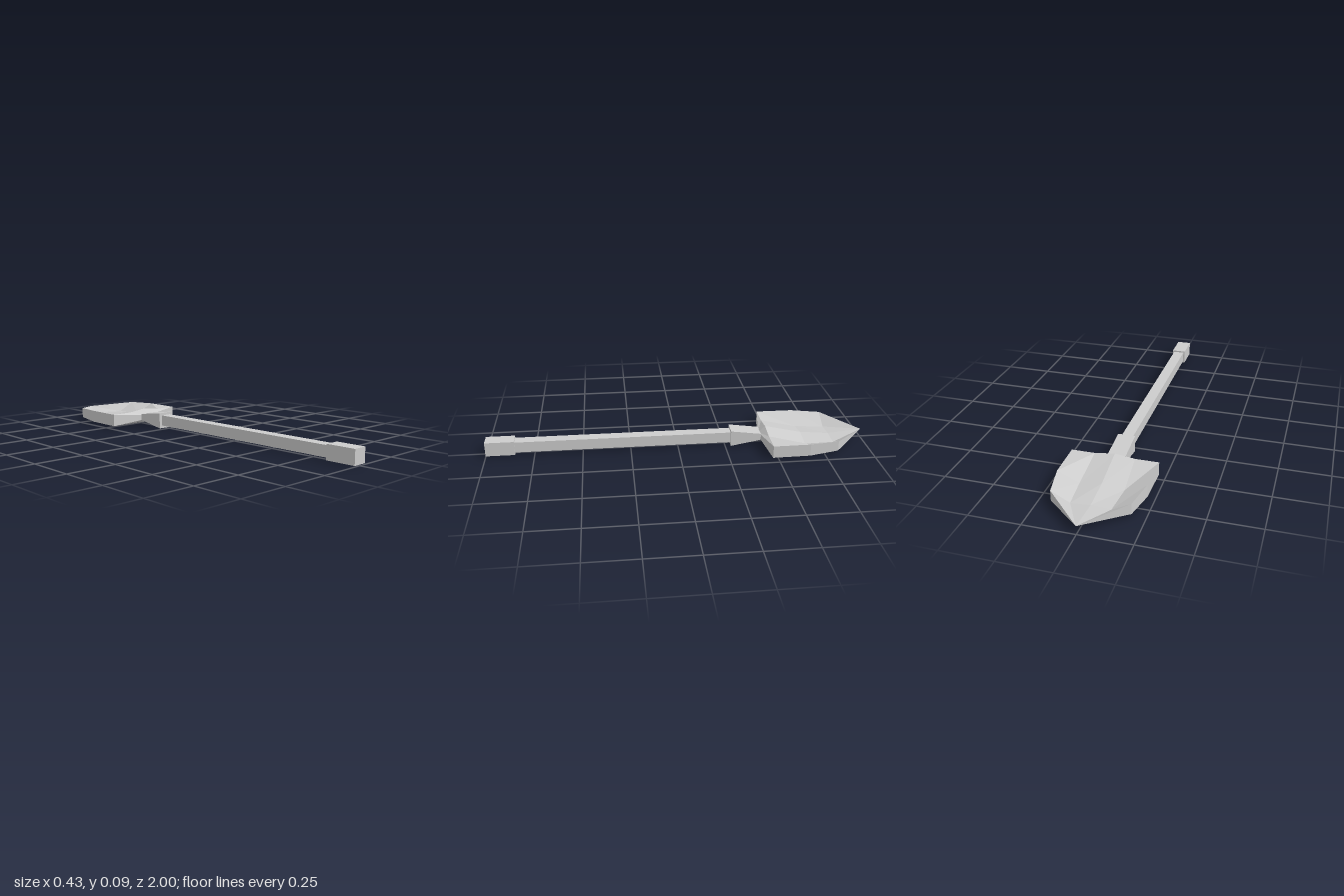
import * as THREE from 'three';

const material = new THREE.MeshStandardMaterial({ color: 0xcccccc, flatShading: true });

function addMesh(group, name, geometry) {
  const mesh = new THREE.Mesh(geometry, material);
  mesh.name = name;
  group.add(mesh);
}

// Square bar running along z, centred on x
function bar(halfWidth, y0, y1, zBack, zFront) {
  return new THREE.BoxGeometry(2 * halfWidth, y1 - y0, zFront - zBack)
    .translate(0, (y0 + y1) / 2, (zBack + zFront) / 2);
}

// Joins closed rings of equal point count, ordered from front to back
function loft(rings) {
  const n = rings[0].length;
  const index = [];
  for (let r = 0; r < rings.length - 1; r++) {
    for (let k = 0; k < n; k++) {
      const a = r * n + k, b = r * n + (k + 1) % n;
      index.push(a, b, b + n, a, b + n, a + n);
    }
  }
  const geometry = new THREE.BufferGeometry();
  geometry.setAttribute('position', new THREE.Float32BufferAttribute(rings.flat(2), 3));
  geometry.setIndex(index);
  geometry.computeVertexNormals();
  return geometry;
}

// Blade section: raised rims, two troughs and a middle rib over a flat underside
function bladeRing({ z, rimX, troughX, rimY, troughY, ribY, bottomY }) {
  const xs = [-rimX, -troughX, 0, troughX, rimX];
  const tops = [rimY, troughY, ribY, troughY, rimY];
  const top = xs.map((x, i) => [x, tops[i], z]);
  const bottom = xs.map((x) => [-x, bottomY, z]);
  return [...top, ...bottom];
}

export function createModel() {
  const group = new THREE.Group();
  group.name = 'shovel';

  addMesh(group, 'shaft', bar(0.029, 0.018, 0.075, -0.36, 0.9));
  addMesh(group, 'grip', bar(0.038, 0.008, 0.083, 0.85, 1));

  // Socket tapers in height towards the blade
  const socket = bar(0.044, 0.003, 0.088, -0.44, -0.28);
  const p = socket.attributes.position;
  for (let i = 0; i < p.count; i++) {
    if (p.getZ(i) < -0.4) p.setY(i, p.getY(i) > 0.045 ? 0.066 : 0.031);
  }
  socket.computeVertexNormals();
  addMesh(group, 'socket', socket);

  // Dished blade, from the neck to the point
  const sections = [
    { z: -0.44, rimX: 0, troughX: 0, rimY: 0.045, troughY: 0.045, ribY: 0.045, bottomY: 0.045 },
    { z: -0.44, rimX: 0.035, troughX: 0.018, rimY: 0.058, troughY: 0.058, ribY: 0.06, bottomY: 0.031 },
    { z: -0.47, rimX: 0.217, troughX: 0.1, rimY: 0.077, troughY: 0.077, ribY: 0.09, bottomY: 0.012 },
    { z: -0.665, rimX: 0.215, troughX: 0.108, rimY: 0.077, troughY: 0.028, ribY: 0.045, bottomY: 0.013 },
    { z: -0.82, rimX: 0.186, troughX: 0.095, rimY: 0.072, troughY: 0.024, ribY: 0.03, bottomY: 0.019 },
    { z: -1, rimX: 0, troughX: 0, rimY: 0.046, troughY: 0.046, ribY: 0.046, bottomY: 0.046 },
  ];
  addMesh(group, 'blade', loft(sections.map(bladeRing)));

  return group;
}
